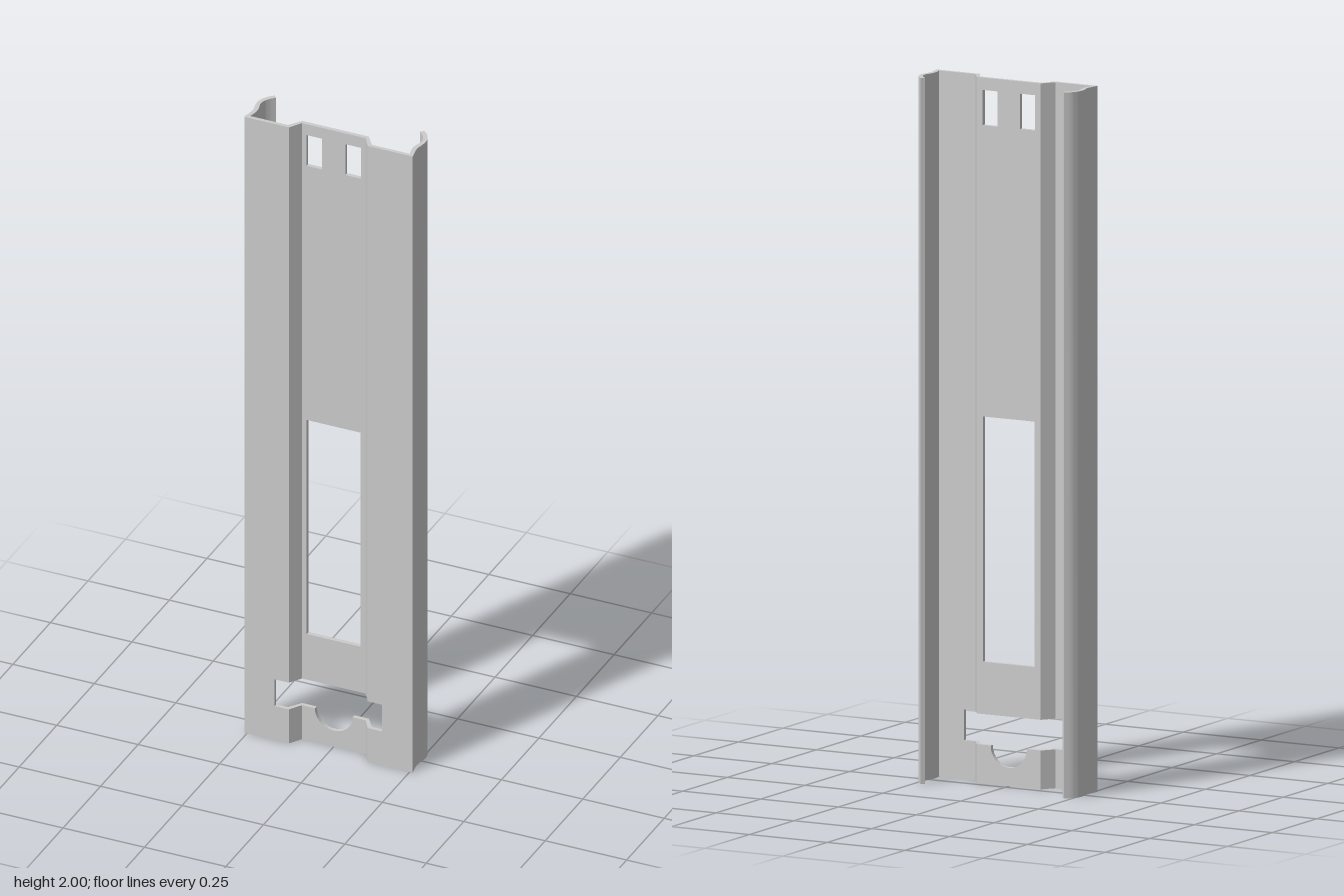
import * as THREE from 'three';
import { toCreasedNormals } from 'three/addons/utils/BufferGeometryUtils.js';

const H = 2, SLOT_LOW = 0.11, SLOT_HIGH = 0.197, SLOT_X = 0.165;
const material = new THREE.MeshStandardMaterial({ color: 0xcccccc });

const polygon = (pts) => new THREE.Shape(pts.map(([x, y]) => new THREE.Vector2(x, y)));
const rect = (x0, x1, y0, y1) => [[x0, y0], [x1, y0], [x1, y1], [x0, y1]];

function addMesh(group, name, geometry) {
  const mesh = new THREE.Mesh(toCreasedNormals(geometry, 0.5), material);
  mesh.name = name;
  group.add(mesh);
}

// flat plate drawn in x/y, thickened from z0 to z1
function plate(shape, z0, z1) {
  return new THREE.ExtrudeGeometry(shape, { depth: z1 - z0, bevelEnabled: false, curveSegments: 24 })
    .translate(0, 0, z0);
}

// x/z cross-section run upwards from y0 to y1
function rail(section, y0, y1) {
  const shape = polygon(section.map(([x, z]) => [x, -z]));
  return new THREE.ExtrudeGeometry(shape, { depth: y1 - y0, bevelEnabled: false })
    .rotateX(-Math.PI / 2).translate(0, y0, 0);
}

// smooth run of points through a few x/z stations
function smooth(stations, n = 20) {
  const curve = new THREE.CatmullRomCurve3(stations.map(([x, z]) => new THREE.Vector3(x, 0, z)), false, 'centripetal');
  return curve.getPoints(n).map((p) => [p.x, p.z]);
}

export function createModel() {
  const group = new THREE.Group();
  group.name = 'mountingRail';

  // recessed centre panel above the cross slot, with its windows
  const upper = polygon(rect(-0.098, 0.098, SLOT_HIGH, H));
  upper.holes.push(
    polygon(rect(-0.083, 0.083, 0.345, 1.04)),
    polygon(rect(-0.084, -0.036, 1.865, 1.965)),
    polygon(rect(0.036, 0.084, 1.865, 1.965)),
  );
  addMesh(group, 'centrePanel', plate(upper, 0.02, 0.032));

  // centre panel below the slot, with a half-round notch
  const lower = new THREE.Shape();
  lower.moveTo(-0.098, 0);
  lower.lineTo(0.098, 0);
  lower.lineTo(0.098, SLOT_LOW);
  lower.lineTo(0.058, SLOT_LOW);
  lower.absarc(0, SLOT_LOW, 0.058, 0, -Math.PI, true);
  lower.lineTo(-0.098, SLOT_LOW);
  lower.closePath();
  addMesh(group, 'lowerCentrePanel', plate(lower, 0.02, 0.032));

  // cross-sections of one half
  const webSection = [[0.098, 0.02], [0.102, 0.02], [0.129, 0.057], [0.129, 0.068], [0.121, 0.068], [0.098, 0.032]];
  const outer = smooth([[0.259, 0.066], [0.254, 0.04], [0.252, 0.022], [0.256, 0.002], [0.259, -0.018],
    [0.256, -0.038], [0.246, -0.057], [0.23, -0.073]]);
  const inner = smooth([[0.221, -0.064], [0.235, -0.049], [0.244, -0.033], [0.247, -0.016], [0.243, 0],
    [0.239, 0.02], [0.241, 0.04], [0.245, 0.057]]);
  const lipSection = [[0.245, 0.068], [0.258, 0.068], ...outer, ...inner];

  for (const [side, s] of [['left', 1], ['right', -1]]) {
    const mirror = (pts) => pts.map(([x, y]) => [s * x, y]);

    // sloping web, interrupted by the slot
    addMesh(group, side + 'LowerWeb', rail(mirror(webSection), 0, SLOT_LOW));
    addMesh(group, side + 'UpperWeb', rail(mirror(webSection), SLOT_HIGH, H));

    // front flange, notched by the end of the slot
    const flange = [[0.129, 0], [0.245, 0], [0.245, H], [0.129, H],
      [0.129, SLOT_HIGH], [SLOT_X, SLOT_HIGH], [SLOT_X, SLOT_LOW], [0.129, SLOT_LOW]];
    addMesh(group, side + 'Flange', plate(polygon(mirror(flange)), 0.057, 0.068));

    // curved side wall with inward lip
    addMesh(group, side + 'CurvedWall', rail(mirror(lipSection), 0, H));
  }
  return group;
}
